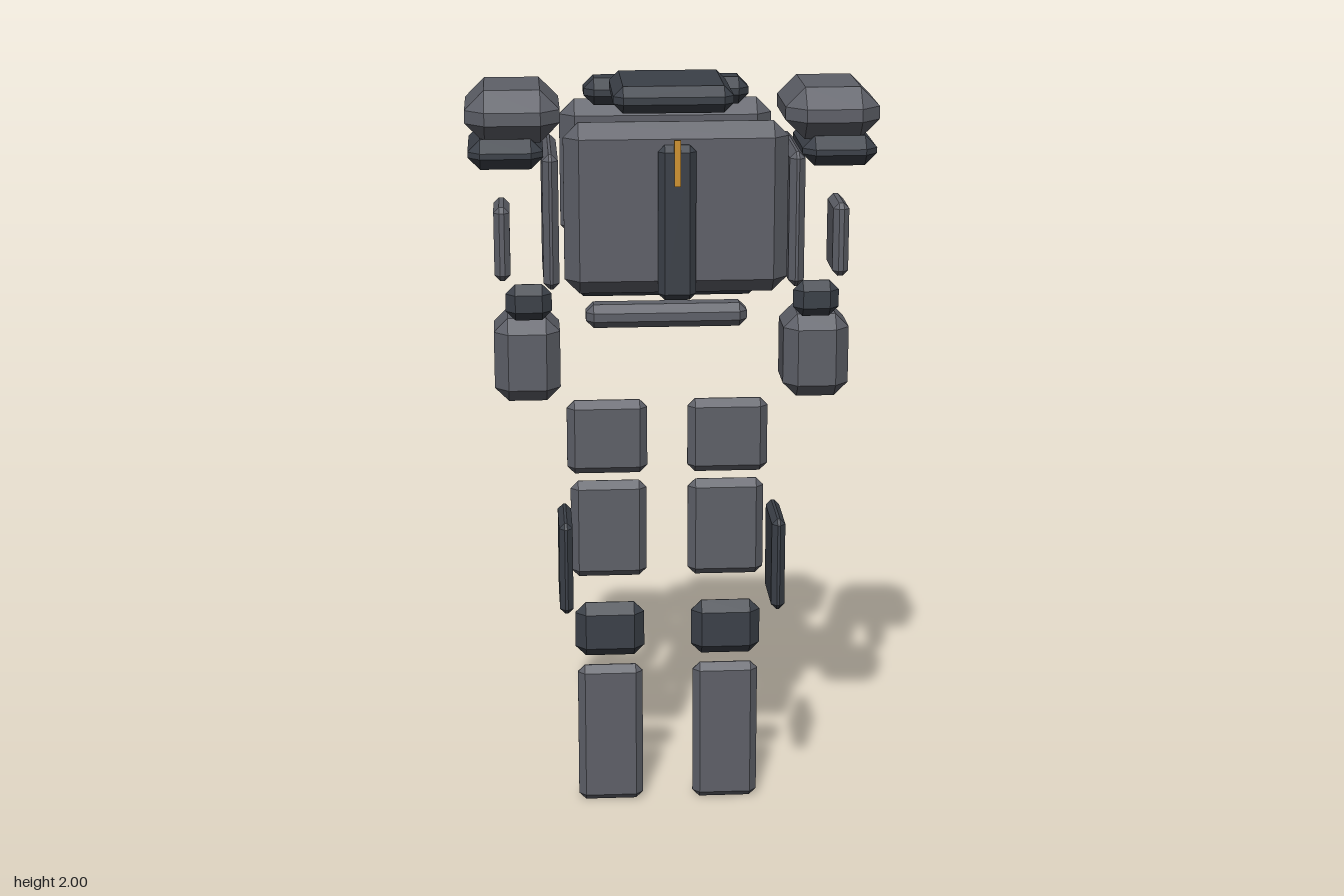
import * as THREE from 'three';
import { ConvexGeometry } from 'three/addons/geometries/ConvexGeometry.js';

const plateGrey = new THREE.MeshStandardMaterial({ color: 0x5e6068 });
plateGrey.name = 'plateGrey';
const darkGrey = new THREE.MeshStandardMaterial({ color: 0x3b4048 });
darkGrey.name = 'darkGrey';
const trimGold = new THREE.MeshStandardMaterial({ color: 0xcf922f });
trimGold.name = 'trimGold';

// Box with every edge cut at 45 degrees: three points per corner
function chamferBox(w, h, d, bevel) {
  const half = [w / 2, h / 2, d / 2];
  const c = Math.min(bevel, Math.min(...half) * 0.96);
  const points = [];
  for (const sx of [-1, 1]) for (const sy of [-1, 1]) for (const sz of [-1, 1]) {
    for (let axis = 0; axis < 3; axis++) {
      const [x, y, z] = half.map((v, i) => (i === axis ? v : v - c));
      points.push(new THREE.Vector3(sx * x, sy * y, sz * z));
    }
  }
  return new ConvexGeometry(points);
}

export function createModel() {
  const model = new THREE.Group();
  model.name = 'floatingArmour';

  // Add a part from its [min, max] ranges; bevel 0 makes a plain box
  function part(name, material, x, y, z, bevel = 0) {
    const size = [x, y, z].map(([a, b]) => b - a);
    const geometry = bevel ? chamferBox(...size, bevel) : new THREE.BoxGeometry(...size);
    const mesh = new THREE.Mesh(geometry, material);
    mesh.position.set(...[x, y, z].map(([a, b]) => (a + b) / 2));
    mesh.name = name;
    model.add(mesh);
  }
  // Same part on the left (+x) and right (-x)
  function pair(name, material, x, y, z, bevel) {
    part(name + 'Left', material, x, y, z, bevel);
    part(name + 'Right', material, [-x[1], -x[0]], y, z, bevel);
  }

  // Chest
  part('chestPlate', plateGrey, [-0.272, 0.272], [1.51, 1.93], [0.163, 0.239], 0.038);
  part('chestRidge', darkGrey, [-0.046, 0.046], [1.5, 1.88], [0.218, 0.259], 0.016);
  part('chestTrim', trimGold, [-0.008, 0.008], [1.783, 1.895], [0.257, 0.266]);

  // Back and collar
  part('backPlate', plateGrey, [-0.272, 0.272], [1.55, 1.916], [-0.262, -0.182], 0.04);
  part('backTrimUpper', trimGold, [-0.155, 0.155], [1.782, 1.796], [-0.267, -0.259]);
  part('backTrimLower', trimGold, [-0.09, 0.09], [1.645, 1.659], [-0.267, -0.259]);
  part('backCollar', darkGrey, [-0.21, 0.21], [1.905, 1.974], [-0.268, -0.157], 0.026);
  part('neckCover', darkGrey, [-0.147, 0.147], [1.934, 2.0], [-0.16, 0.137], 0.024);

  // Lower back bands
  part('waistBandUpper', plateGrey, [-0.24, 0.24], [1.475, 1.53], [-0.236, -0.158], 0.02);
  part('waistBandMiddle', darkGrey, [-0.235, 0.235], [1.408, 1.462], [-0.236, -0.158], 0.02);
  part('waistBandLower', plateGrey, [-0.21, 0.21], [1.324, 1.386], [-0.23, -0.152], 0.02);

  // Shoulders
  pair('shoulderPad', plateGrey, [0.276, 0.508], [1.862, 1.99], [-0.162, 0.137], 0.048);
  pair('shoulderTrim', trimGold, [0.327, 0.451], [1.919, 1.931], [-0.166, -0.158]);
  pair('underShoulder', darkGrey, [0.318, 0.502], [1.798, 1.872], [-0.146, 0.13], 0.03);

  // Flanks and arms
  pair('sidePanel', plateGrey, [0.283, 0.322], [1.503, 1.84], [-0.163, 0.148], 0.016);
  pair('upperArmPlate', plateGrey, [0.403, 0.443], [1.508, 1.694], [-0.082, 0.066], 0.014);
  pair('elbow', darkGrey, [0.302, 0.417], [1.413, 1.505], [0.055, 0.105], 0.025);
  pair('forearm', plateGrey, [0.282, 0.448], [1.196, 1.411], [-0.095, 0.087], 0.035);
  pair('forearmTrim', trimGold, [0.318, 0.412], [1.298, 1.309], [-0.1, -0.092]);

  // Legs
  pair('hipPlate', plateGrey, [0.053, 0.264], [0.937, 1.137], [-0.165, -0.121], 0.02);
  pair('thighPlate', plateGrey, [0.055, 0.256], [0.645, 0.913], [-0.172, -0.13], 0.02);
  pair('outerThighPlate', darkGrey, [0.257, 0.292], [0.624, 0.872], [-0.1, 0.087], 0.014);
  pair('kneePlate', darkGrey, [0.063, 0.248], [0.423, 0.575], [-0.163, -0.105], 0.028);
  pair('shinPlate', plateGrey, [0.068, 0.243], [0, 0.396], [-0.153, -0.111], 0.019);
  pair('shinTrim', trimGold, [0.149, 0.162], [0.26, 0.366], [-0.158, -0.15]);

  return model;
}
